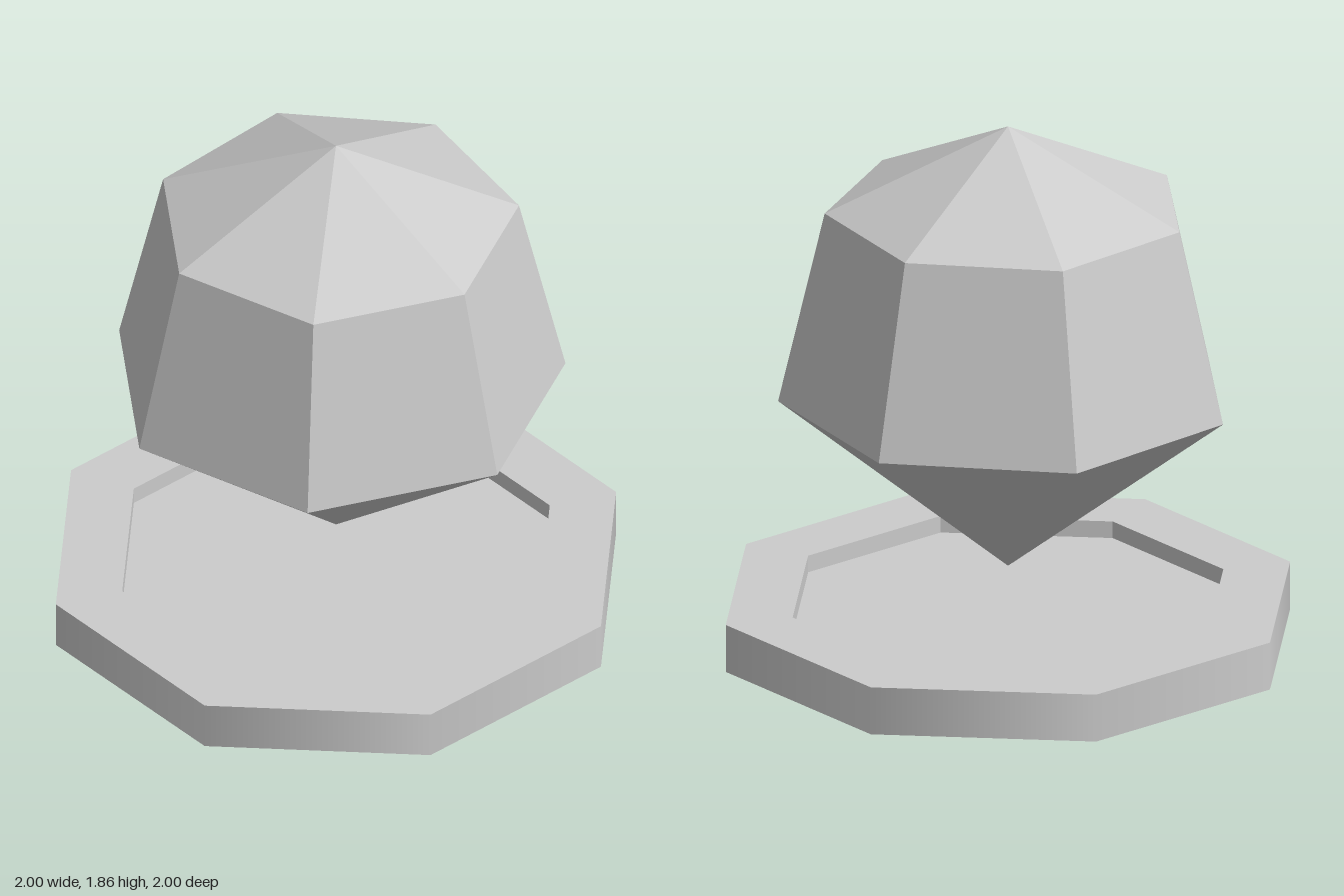
import * as THREE from 'three';

export function createModel() {
  const model = new THREE.Group();
  const flat = new THREE.MeshStandardMaterial({ color: 0xcccccc, flatShading: true, side: THREE.DoubleSide });
  const smooth = new THREE.MeshStandardMaterial({ color: 0xcccccc, side: THREE.DoubleSide });

  const add = (parent, name, geometry, material, y = 0) => {
    const mesh = new THREE.Mesh(geometry, material);
    mesh.name = name;
    mesh.position.y = y;
    parent.add(mesh);
    return mesh;
  };

  // Seven-sided gem: bottom tip, girdle, shoulder, top tip; one corner points back
  const profile = [[0, 0.27], [0.78, 0.89], [0.622, 1.565], [0, 1.862]]
    .map(([r, y]) => new THREE.Vector2(r, y));
  add(model, 'gem', new THREE.LatheGeometry(profile, 7, Math.PI), flat);

  // Octagonal base, hollow underneath, with a shallow recess in its top
  const base = new THREE.Group();
  base.name = 'base';
  model.add(base);
  const sides = 8, height = 0.17, outer = 1, inner = 0.763, floorY = 0.11;
  const depth = height - floorY;

  add(base, 'outerWall',
    new THREE.CylinderGeometry(outer, outer, height, sides, 1, true), smooth, height / 2);
  add(base, 'rim',
    new THREE.RingGeometry(inner, outer, sides).rotateX(-Math.PI / 2), flat, height);
  // Scaling z by -1 with reversed winding makes the wall face the recess
  const wall = new THREE.CylinderGeometry(inner, inner, depth, sides, 1, true).scale(1, 1, -1);
  wall.computeVertexNormals();
  add(base, 'recessWall', wall, flat, floorY + depth / 2);
  add(base, 'recessFloor',
    new THREE.CircleGeometry(inner, sides).rotateX(-Math.PI / 2), flat, floorY);

  return model;
}
